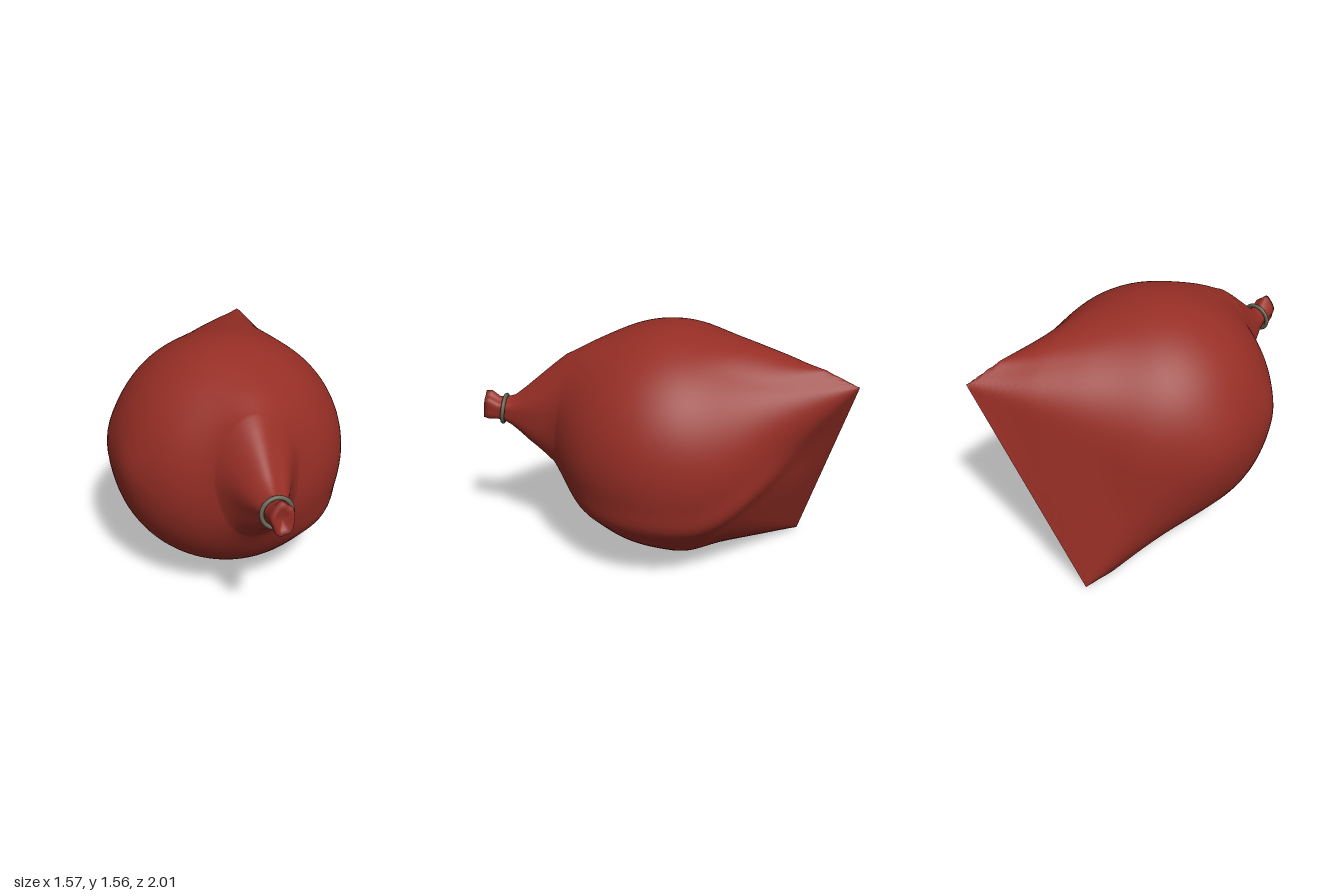
import * as THREE from 'three';

const V = (x, y, z) => new THREE.Vector3(x, y, z);
const { smoothstep, clamp } = THREE.MathUtils;

// Closed-around skin: point(row, angle) runs from the front to the back
function skin(rows, cols, point) {
  const pos = [], index = [];
  for (let i = 0; i <= rows; i++) {
    for (let j = 0; j < cols; j++) pos.push(...point(i, (j / cols) * Math.PI * 2).toArray());
  }
  for (let i = 0; i < rows; i++) {
    for (let j = 0; j < cols; j++) {
      const k = (j + 1) % cols;
      const a = i * cols + j, b = i * cols + k, c = a + cols, d = b + cols;
      index.push(a, b, c, b, d, c);
    }
  }
  const g = new THREE.BufferGeometry();
  g.setAttribute('position', new THREE.Float32BufferAttribute(pos, 3));
  g.setIndex(index);
  g.computeVertexNormals();
  return g;
}

const CENTRE = V(-0.03, 0.82, -0.11);
const R = 0.742;

// Neck frame: ring centre, axis, sideways and upward directions
const TIE = V(-0.49, 0.97, 0.87);
const AXIS = TIE.clone().sub(CENTRE).normalize();
const SIDE = V(0, 1, 0).cross(AXIS).normalize();
const UP = AXIS.clone().cross(SIDE);

// Pleated neck: [distance along axis, half width, half height, lift, pleat depth]
const NECK = [
  [0.09, 0.001, 0.001, 0, 0], [0.1, 0.035, 0.06, 0, 0.06], [0.125, 0.058, 0.09, 0.01, 0.09],
  [0.09, 0.068, 0.095, 0.01, 0.09], [0.04, 0.066, 0.075, 0, 0.07], [0, 0.068, 0.075, 0, 0.06],
  [-0.06, 0.085, 0.1, 0, 0.06], [-0.12, 0.112, 0.15, 0.01, 0.05], [-0.18, 0.14, 0.205, 0.02, 0.05],
  [-0.24, 0.168, 0.258, 0.034, 0.04], [-0.3, 0.2, 0.312, 0.046, 0.03], [-0.36, 0.24, 0.365, 0.056, 0.02],
];
function neckPoint(i, th) {
  const [s, w, h, lift, pleat] = NECK[i];
  const k = 1 + pleat * Math.cos(th * 5 + 0.6) * (0.7 + 0.3 * Math.sin(th * 2));
  return TIE.clone().addScaledVector(AXIS, s)
    .addScaledVector(SIDE, Math.sin(th) * w * k)
    .addScaledVector(UP, Math.cos(th) * h * k + lift);
}

// Soft swellings of the cloth: direction, height, width
const SWELLINGS = [
  [V(-0.28, 0.68, 0.67), 0.04, 0.28],
  [V(-0.99, 0.12, -0.06), 0.018, 0.2],
  [V(-0.75, 0.1, -0.62), 0.02, 0.25],
  [V(0.47, -0.86, 0.05), 0.02, 0.2],
  [V(0.97, 0.12, -0.2), 0.015, 0.3],
].map(([d, h, w]) => [d.normalize(), h, w]);

function swelling(d) {
  let r = 0;
  for (const [dir, h, w] of SWELLINGS) r += h * Math.exp(-dir.distanceToSquared(d) / (w * w));
  // fold running low around the front and side, rising to the back
  const foldY = -0.46 + 0.6 * smoothstep(-d.z, -0.3, 0.9);
  const reach = smoothstep(d.x, -0.3, 0.4) * smoothstep(d.z, -0.75, -0.1);
  return r + 0.027 * reach * Math.exp(-(((d.y - foldY) / 0.13) ** 2));
}

// Round bag, gathered into the neck in front and drawn tight to a straight seam behind
function bagGeometry() {
  const top = V(0.785, 1.31, -0.94).sub(CENTRE), bottom = V(0.13, 0.005, -1).sub(CENTRE);
  const corners = [V(0.66, 1.39, -0.8).sub(CENTRE), top, bottom, V(0.03, 0.005, -0.85).sub(CENTRE)];
  const pulls = [];
  [6, 60, 6].forEach((n, s) => {
    for (let i = 0; i <= n; i++) {
      const p = corners[s].clone().lerp(corners[s + 1], i / n);
      const D = p.length();
      pulls.push({ dir: p.normalize(), reach: Math.acos(Math.min(1, R / D)) });
    }
  });
  // distance to the cloth stretched from the ball to the seam, sagging near the seam
  const radius = (d) => {
    let r = R;
    const sag = 0.27 * smoothstep(d.x, 0.45, 0.75) * smoothstep(d.y, -0.4, 0.2)
      + 0.12 * smoothstep(-d.x, -0.3, 0.1) * smoothstep(-d.z, 0.3, 0.7);
    for (const { dir, reach } of pulls) {
      const a = Math.acos(clamp(d.dot(dir), -1, 1));
      if (a >= reach) continue;
      const t = a / reach;
      r = Math.max(r, R / Math.cos(reach - a) - sag * t * (1 - t) ** 2);
    }
    return r + swelling(d);
  };
  const U = V(top.x - bottom.x, top.y - bottom.y, 0).normalize();
  const W = V(U.y, -U.x, 0);
  const tilt = Math.atan2(U.x, U.y);
  const neck = NECK.length - 1, front = 30, back = 40, last = neck + front + back;
  return skin(last, 112, (i, th) => {
    if (i <= neck) return neckPoint(i, th + tilt);
    const rim = U.clone().multiplyScalar(Math.cos(th)).addScaledVector(W, Math.sin(th));
    if (i <= neck + front) {
      // spread from the foot of the neck to the widest rim
      const u = (i - neck) / front;
      const foot = neckPoint(neck, th + tilt).sub(CENTRE);
      const reach = foot.length();
      foot.normalize();
      const d = foot.clone().lerp(rim, u).normalize();
      const r = radius(d) + (reach - radius(foot)) * (1 - u) ** 6;
      return d.multiplyScalar(r).add(CENTRE);
    }
    const seam = bottom.clone().lerp(top, 0.5 + 0.5 * Math.cos(th));
    if (i === last) return seam.add(CENTRE);
    const d = rim.multiplyScalar(R).lerp(seam, (i - neck - front) / back).normalize();
    return d.multiplyScalar(radius(d)).add(CENTRE);
  });
}

export function createModel() {
  const group = new THREE.Group();
  const redCloth = new THREE.MeshStandardMaterial({ color: 0x962e25 });
  redCloth.name = 'redCloth';
  const greyMetal = new THREE.MeshStandardMaterial({ color: 0x626253 });
  greyMetal.name = 'greyMetal';

  const add = (name, geometry, material) => {
    const mesh = new THREE.Mesh(geometry, material);
    mesh.name = name;
    group.add(mesh);
    return mesh;
  };

  add('bag', bagGeometry(), redCloth);

  // Ring that ties the neck
  const ring = add('tieRing', new THREE.TorusGeometry(0.088, 0.013, 12, 40), greyMetal);
  ring.position.copy(TIE);
  ring.quaternion.setFromUnitVectors(V(0, 0, 1), AXIS);

  return group;
}
